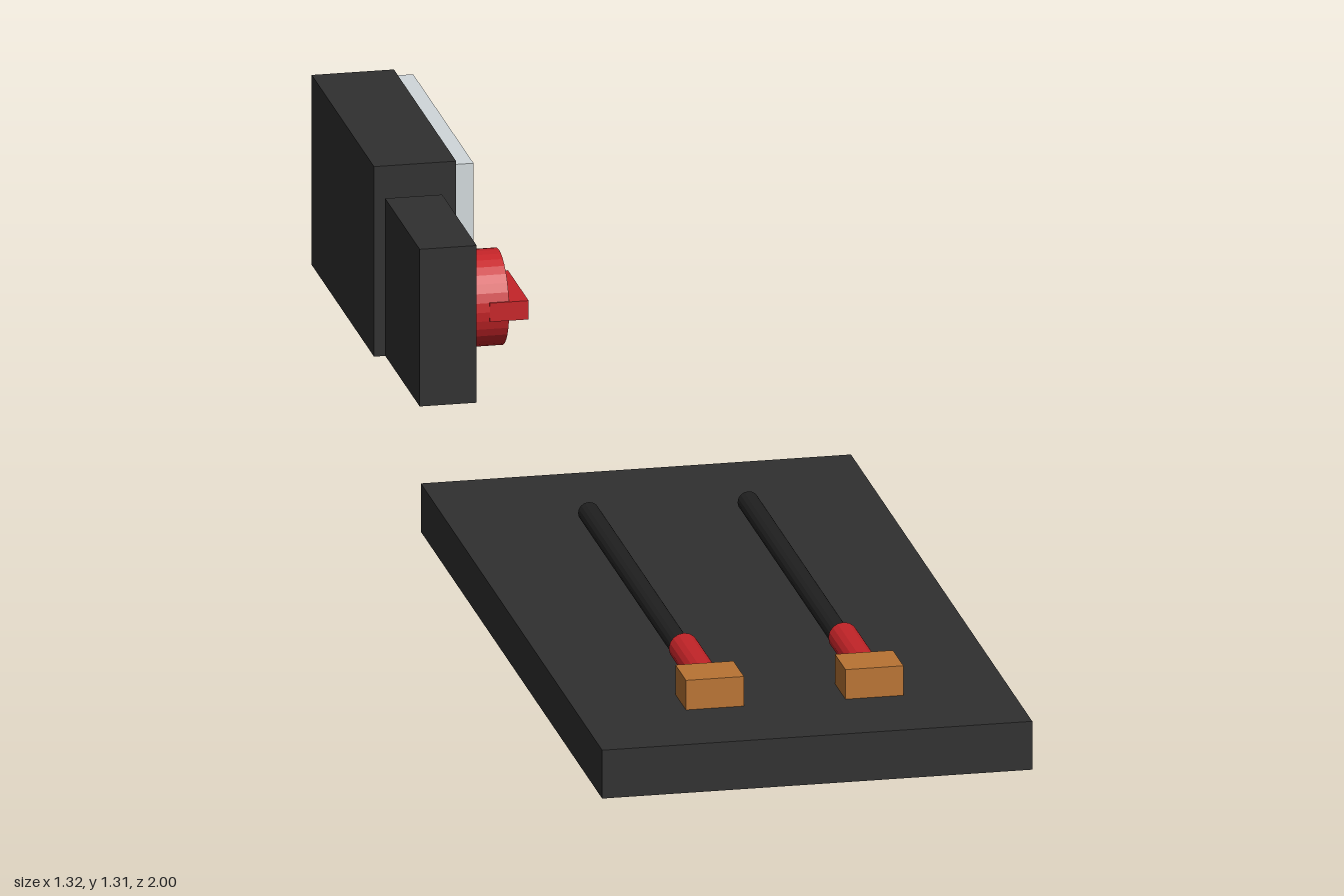
import * as THREE from 'three';

const flat = (name, color) => {
  const m = new THREE.MeshStandardMaterial({ color });
  m.name = name;
  return m;
};

export function createModel() {
  const black = flat('black plastic', 0x303030);
  const cable = flat('cable black', 0x202020);
  const red = flat('red', 0xc42428);
  const copper = flat('copper', 0xb87333);
  const screenGrey = flat('pale screen', 0xd0d7da);
  const model = new THREE.Group();
  model.name = 'controlSet';

  // Box given by its minimum and maximum on each axis
  function box(name, material, [x0, x1], [y0, y1], [z0, z1], parent = model) {
    const mesh = new THREE.Mesh(new THREE.BoxGeometry(x1 - x0, y1 - y0, z1 - z0), material);
    mesh.position.set((x0 + x1) / 2, (y0 + y1) / 2, (z0 + z1) / 2);
    mesh.name = name;
    parent.add(mesh);
  }

  // Faceted cylinder running along x or z
  function rod(name, material, radius, length, sides, axis, position, parent = model) {
    let geometry = new THREE.CylinderGeometry(radius, radius, length, sides);
    if (axis === 'x') geometry.rotateZ(Math.PI / 2);
    else geometry.rotateX(Math.PI / 2);
    geometry = geometry.toNonIndexed();
    geometry.computeVertexNormals();
    const mesh = new THREE.Mesh(geometry, material);
    mesh.position.set(...position);
    mesh.name = name;
    parent.add(mesh);
  }

  // Base slab
  box('base', black, [-0.23, 0.66], [0, 0.103], [-1, 0.755]);

  // Two probes lying on the base: cable, sleeve and contact block
  for (const x of [0.05, 0.38]) {
    const probe = new THREE.Group();
    probe.name = 'probe';
    rod('cable', cable, 0.022, 0.925, 16, 'z', [x, 0.124, -0.2225], probe);
    rod('sleeve', red, 0.031, 0.205, 16, 'z', [x, 0.134, 0.3375], probe);
    box('contact', copper, [x - 0.06, x + 0.06], [0.103, 0.166], [0.435, 0.537], probe);
    model.add(probe);
  }

  // Display: housing with a pale panel on its +x side
  const display = new THREE.Group();
  display.name = 'display';
  box('housing', black, [-0.66, -0.49], [0.908, 1.313], [-0.045, 0.558], display);
  box('screen', screenGrey, [-0.49, -0.452], [0.918, 1.303], [-0.036, 0.549], display);
  model.add(display);

  // Rotary switch: plate, dial and grip bar
  const rotary = new THREE.Group();
  rotary.name = 'rotarySwitch';
  box('plate', black, [-0.66, -0.542], [0.945, 1.28], [0.665, 1], rotary);
  rod('dial', red, 0.099, 0.082, 32, 'x', [-0.501, 1.112, 0.832], rotary);
  box('grip', red, [-0.5, -0.42], [1.092, 1.132], [0.732, 0.932], rotary);
  model.add(rotary);

  return model;
}
